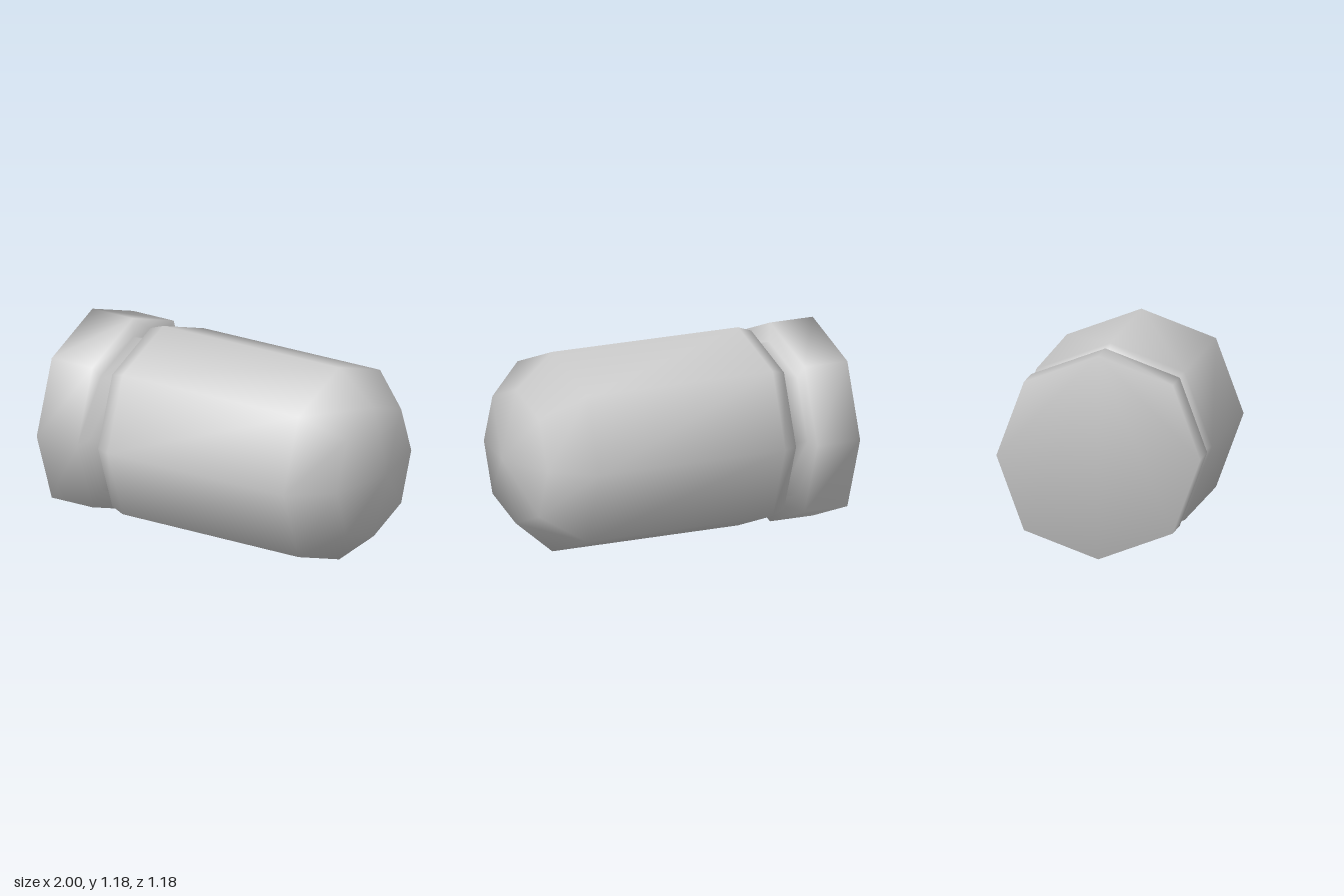
import * as THREE from 'three';

const SIDES = 8;

// Eight-sided solid along x: rings of [x, radius], a flat base and a pointed tip.
// Shared vertices keep the shading smooth over the whole surface.
function turnedSolid(profile, tipX) {
  const pos = [], index = [];
  for (const [x, r] of profile) {
    for (let k = 0; k < SIDES; k++) {
      const a = (k / SIDES) * Math.PI * 2;
      const rr = k % 2 ? r * 1.032 : r; // diagonal corners sit slightly further out
      pos.push(x, rr * Math.cos(a), rr * Math.sin(a));
    }
  }
  const tip = profile.length * SIDES;
  pos.push(tipX, 0, 0);

  // side walls
  for (let i = 0; i < profile.length; i++) {
    for (let k = 0; k < SIDES; k++) {
      const a = i * SIDES + k, b = i * SIDES + (k + 1) % SIDES;
      if (i === profile.length - 1) index.push(a, b, tip);
      else index.push(a, b, a + SIDES, b, b + SIDES, a + SIDES);
    }
  }
  // flat base
  for (let k = 1; k < SIDES - 1; k++) index.push(0, k + 1, k);

  const geometry = new THREE.BufferGeometry();
  geometry.setAttribute('position', new THREE.Float32BufferAttribute(pos, 3));
  geometry.setIndex(index);
  geometry.computeVertexNormals();
  return geometry;
}

export function createModel() {
  const group = new THREE.Group();
  group.name = 'roundedPlug';

  const grey = new THREE.MeshStandardMaterial({ color: 0xcccccc, side: THREE.DoubleSide });
  grey.name = 'light grey';

  const profile = [
    [-1, 0.588], [-0.725, 0.588],     // base collar
    [-0.72, 0.475], [-0.61, 0.475],   // groove
    [-0.605, 0.555], [-0.52, 0.586],  // bevelled shoulder
    [0.675, 0.59], [0.91, 0.395],     // barrel and nose
  ];
  const body = new THREE.Mesh(turnedSolid(profile, 1), grey);
  body.name = 'groovedBody';
  body.position.y = 0.59;
  group.add(body);
  return group;
}
